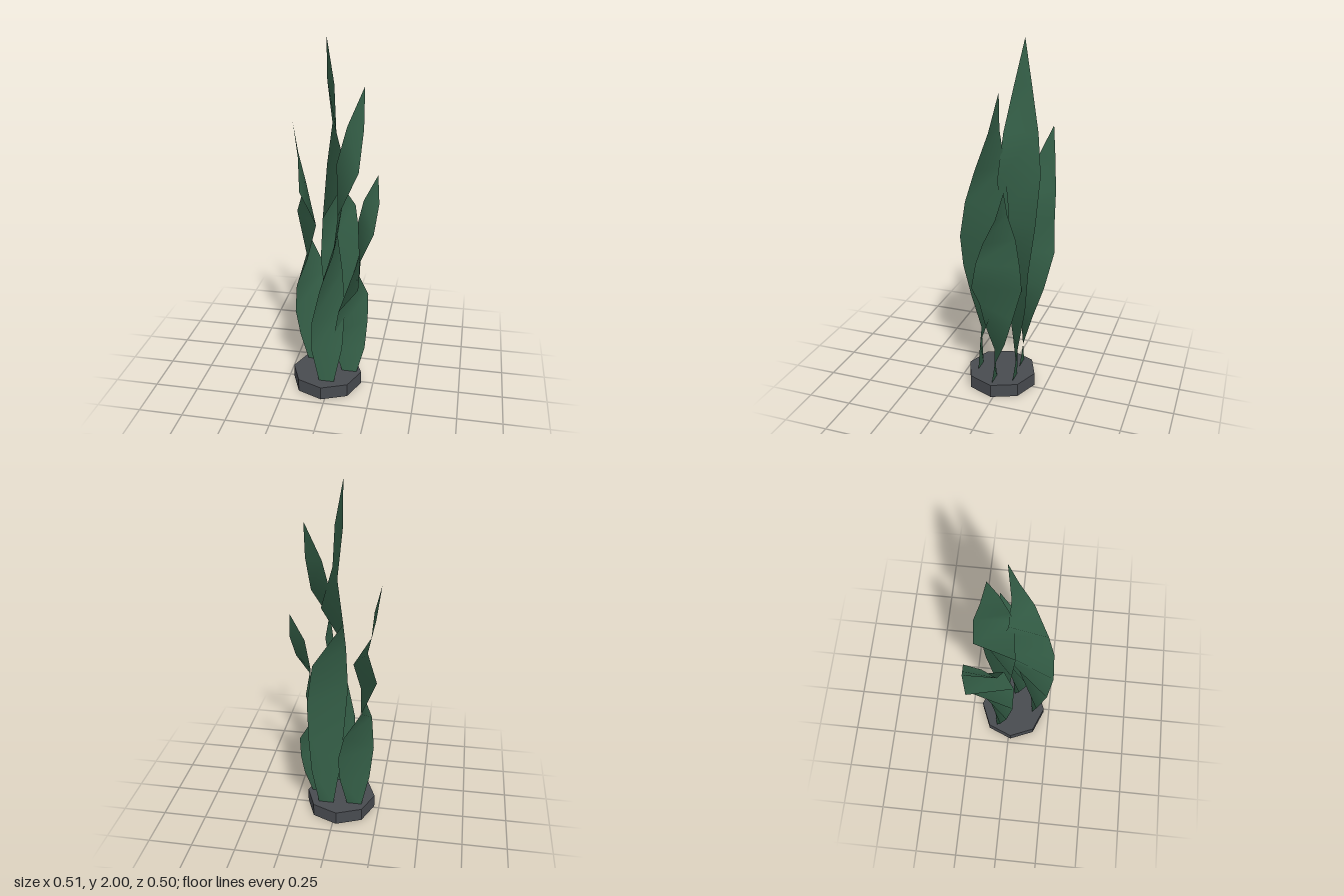
import * as THREE from 'three';

const BASE_TOP = 0.077;
const SEGMENTS = 8;

// One twisted leaf: a ribbon that leans from its root to its tip.
// root: [x, z], tip: [x, y, z], turns: ribbon angle in degrees at each level.
function makeLeaf(root, tip, turns, material) {
  const maxHalfWidth = 0.1405;
  const positions = [];
  const indices = [];
  for (let i = 0; i < SEGMENTS; i++) {
    const t = i / SEGMENTS;
    const lean = t * t;
    const x = THREE.MathUtils.lerp(root[0], tip[0], lean);
    const z = THREE.MathUtils.lerp(root[1], tip[2], lean);
    const y = THREE.MathUtils.lerp(BASE_TOP, tip[1], t);
    const w = maxHalfWidth * Math.sin(Math.PI * (0.1 + 0.9 * t));
    const a = THREE.MathUtils.degToRad(turns[i]);
    const dx = w * Math.cos(a);
    const dz = -w * Math.sin(a);
    positions.push(x - dx, y, z - dz, x + dx, y, z + dz);

    const k = i * 2;
    if (i < SEGMENTS - 1) indices.push(k, k + 1, k + 3, k, k + 3, k + 2);
    else indices.push(k, k + 1, k + 2);
  }
  positions.push(...tip);

  const geometry = new THREE.BufferGeometry();
  geometry.setAttribute('position', new THREE.Float32BufferAttribute(positions, 3));
  geometry.setIndex(indices);
  geometry.computeVertexNormals();
  return new THREE.Mesh(geometry, material);
}

export function createModel() {
  const group = new THREE.Group();
  group.name = 'waterPlant';

  const leafGreen = new THREE.MeshStandardMaterial({ color: 0x356048, side: THREE.DoubleSide });
  leafGreen.name = 'leafGreen';
  const stoneGrey = new THREE.MeshStandardMaterial({ color: 0x484b50, flatShading: true });
  stoneGrey.name = 'stoneGrey';

  // Eight-sided weight
  const base = new THREE.Mesh(new THREE.CylinderGeometry(0.201, 0.201, BASE_TOP, 8), stoneGrey);
  base.name = 'base';
  base.position.set(-0.021, BASE_TOP / 2, 0.014);
  group.add(base);

  // Four leaves
  const leaves = [
    { name: 'tallLeaf', root: [0.053, -0.09], tip: [-0.045, 2.0, -0.102], turns: [0, 28, 43, 45, 59, 128, 107, 123] },
    { name: 'frontLeaf', root: [-0.003, 0.14], tip: [0.168, 1.76, -0.035], turns: [0, 18, 50, 73, 95, 93, 139, 163] },
    { name: 'rightLeaf', root: [-0.112, -0.08], tip: [-0.256, 1.51, -0.205], turns: [0, 20, 40, 63, 98, 128, 91, 102] },
    { name: 'leftLeaf', root: [0.11, 0.015], tip: [0.241, 1.27, -0.085], turns: [0, 20, 47, 61, 102, 95, 127, 158] },
  ];
  for (const { name, root, tip, turns } of leaves) {
    const leaf = makeLeaf(root, tip, turns, leafGreen);
    leaf.name = name;
    group.add(leaf);
  }
  return group;
}
